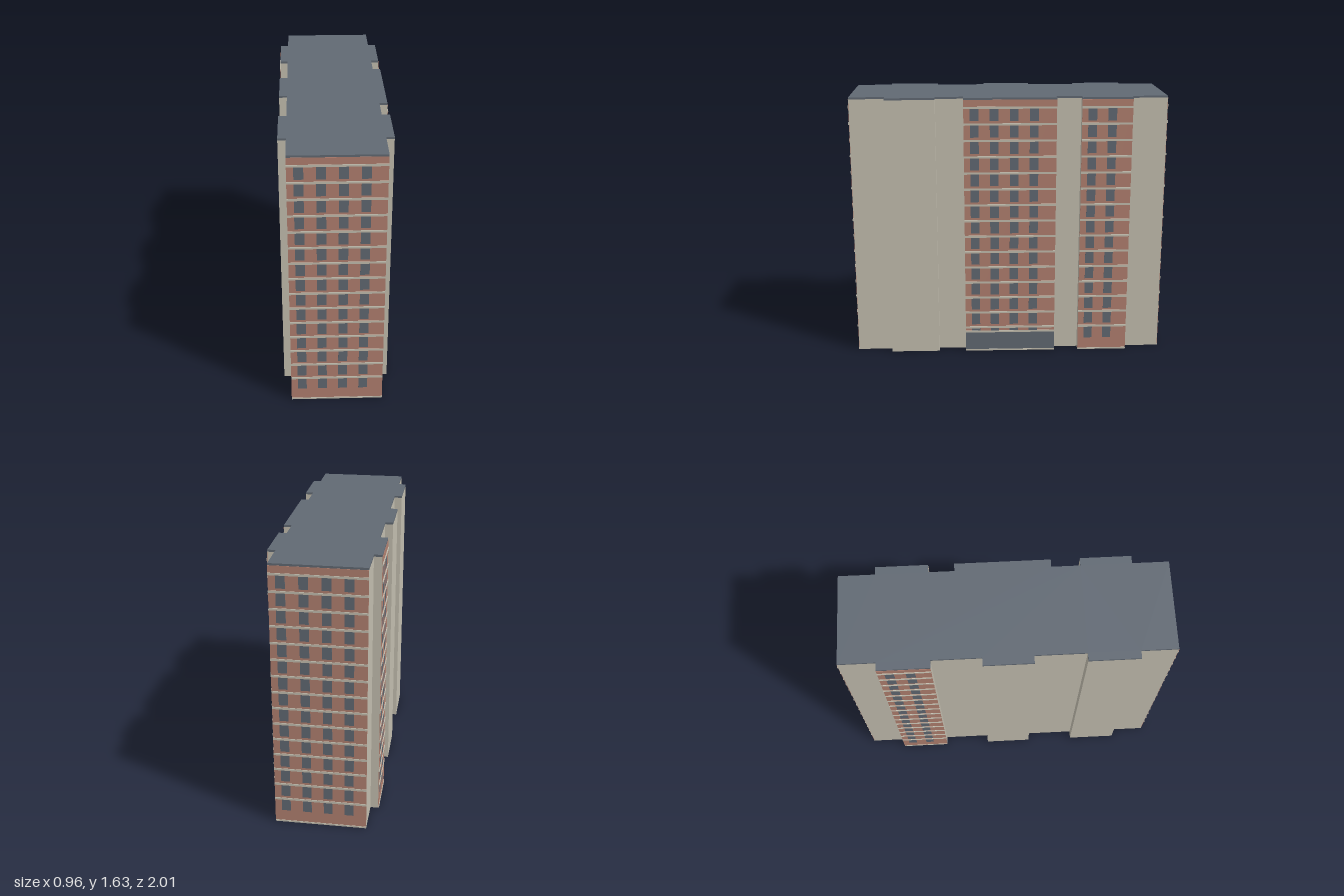
import * as THREE from 'three';

const H = 1.63, ROOF = 0.012, FLOORS = 15, STEP = 0.1007, FIRST_BAND = 0.16;
const HALF_W = 0.272, HALF_L = 0.964, BAY = 0.319;

const mat = (name, color) => {
  const m = new THREE.MeshStandardMaterial({ color });
  m.name = name;
  return m;
};

export function createModel() {
  const concrete = mat('concrete', 0xc4bfb0);
  const brick = mat('brick', 0xb28070);
  const slate = mat('slate', 0x616973);

  const building = new THREE.Group();
  building.name = 'apartmentBlock';

  // Footprint with projecting bays, in plan (u across, v along)
  const rightBays = [[0.748, 0.446], [0.276, -0.288], [-0.44, -0.748]];
  const leftBays = [[-0.747, -0.44], [-0.148, 0.1455], [0.447, 0.749]];
  const plan = [[-HALF_W, HALF_L], [HALF_W, HALF_L]];
  const addBays = (bays, s) => bays.forEach(([a, b]) =>
    plan.push([s * HALF_W, a], [s * BAY, a], [s * BAY, b], [s * HALF_W, b]));
  addBays(rightBays, 1);
  plan.push([HALF_W, -HALF_L], [-HALF_W, -HALF_L]);
  addBays(leftBays, -1);
  const footprint = new THREE.Shape(plan.map(([u, v]) => new THREE.Vector2(u, -v)));

  const slab = (name, y, height, material) => {
    const geo = new THREE.ExtrudeGeometry(footprint, { depth: height, bevelEnabled: false });
    geo.rotateX(-Math.PI / 2);
    const mesh = new THREE.Mesh(geo, material);
    mesh.name = name;
    mesh.position.y = y;
    building.add(mesh);
  };
  slab('walls', 0, H - ROOF, concrete);
  slab('roof', H - ROOF, ROOF, slate);

  // Brick facade: local x runs left to right seen from outside, z points outward
  function facade(name, width, windows, u, v, turn, entrance) {
    const g = new THREE.Group();
    g.name = name;
    g.position.set(u, 0, v);
    g.rotation.y = turn;
    const plate = (part, x0, x1, y0, y1, depth, material) => {
      const m = new THREE.Mesh(new THREE.BoxGeometry(x1 - x0, y1 - y0, depth), material);
      m.name = part;
      m.position.set((x0 + x1) / 2 - width / 2, (y0 + y1) / 2, depth / 2);
      g.add(m);
    };
    const base = entrance ? 0.137 : 0.01;
    plate('brickFace', 0, width, base, H - ROOF, 0.002, brick);
    plate('baseBand', 0, width, 0, 0.01, 0.005, concrete);
    if (entrance) {
      plate('entrancePanel', 0, width, 0.01, 0.125, 0.003, slate);
      plate('entranceBand', 0, width, 0.125, 0.137, 0.006, concrete);
    }
    for (let i = 0; i < FLOORS; i++) {
      const y = FIRST_BAND + i * STEP;
      plate('floorBand', 0, width, y - 0.006, y + 0.007, 0.006, concrete);
      for (const x of windows)
        plate('window', x - 0.0265, x + 0.0265, Math.max(base, y - 0.08), y - 0.006, 0.0035, slate);
    }
    building.add(g);
  }

  const four = [0.065, 0.185, 0.306, 0.427], two = [0.064, 0.184];
  facade('frontFacade', 2 * HALF_W, four, 0, HALF_L, 0);
  facade('backFacade', 2 * HALF_W, [0.067, 0.193, 0.318, 0.442], 0, -HALF_L, Math.PI);
  facade('entranceFacade', 0.564, four, BAY, -0.006, Math.PI / 2, true);
  facade('rightBayFacade', 0.308, two, BAY, -0.594, Math.PI / 2);
  facade('leftBayFacade', 0.307, [0.068, 0.188], -BAY, -0.5935, -Math.PI / 2);

  // The block stands slightly turned on its plot
  building.rotation.y = -0.223;
  const model = new THREE.Group();
  model.name = 'building';
  model.add(building);
  return model;
}
